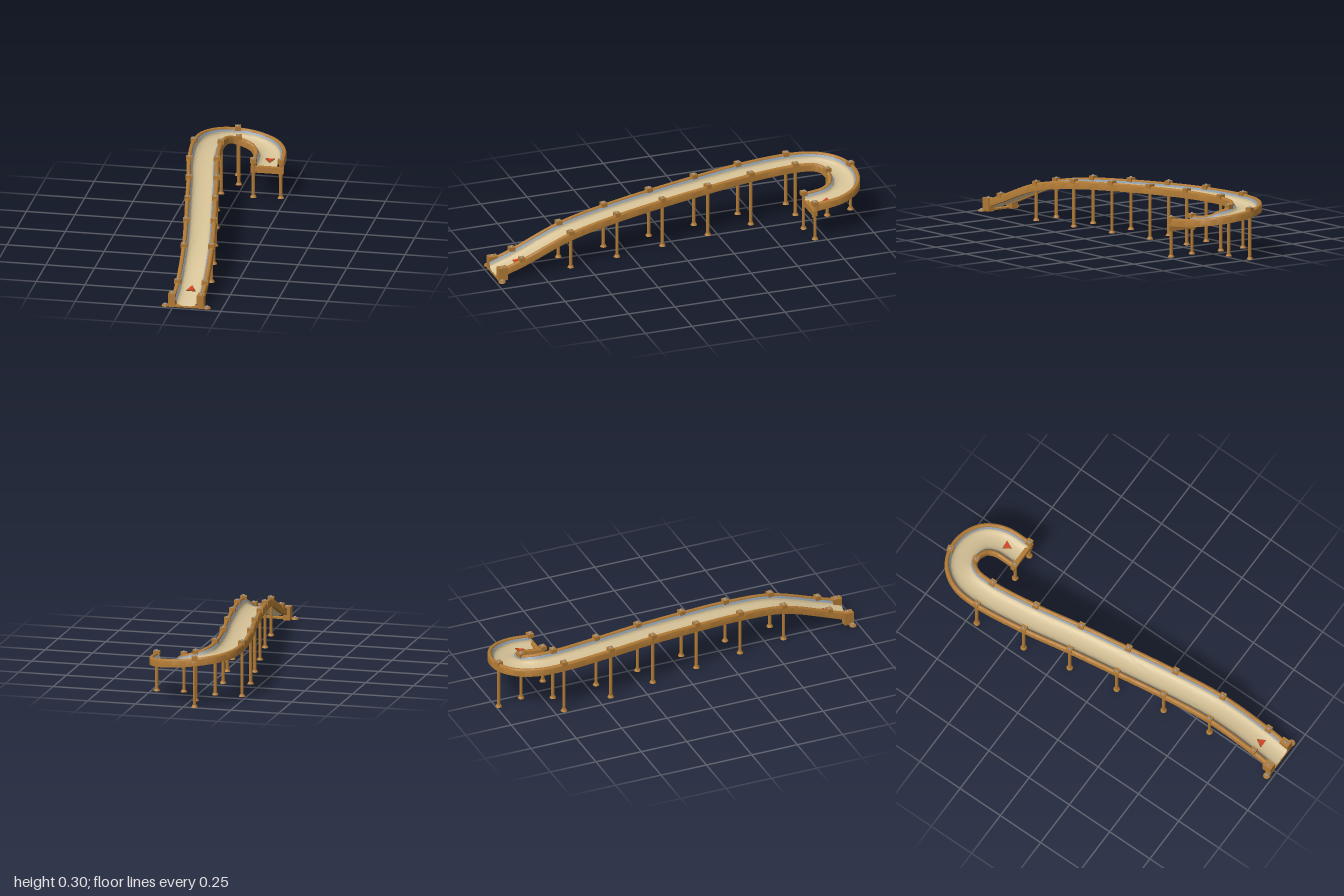
import * as THREE from 'three';
import { toCreasedNormals } from 'three/addons/utils/BufferGeometryUtils.js';

const mat = (name, color, side = THREE.FrontSide) => {
  const m = new THREE.MeshStandardMaterial({ color, side });
  m.name = name;
  return m;
};

export function createModel() {
  const model = new THREE.Group();
  model.name = 'curvedSlide';
  const wood = mat('wood', 0xb17a35);
  const cream = mat('cream', 0xd6c297, THREE.DoubleSide);
  const blue = mat('blueGrey', 0x8c9bab, THREE.DoubleSide);
  const steel = mat('steel', 0x8d9294);
  const red = mat('red', 0xdc3c22);
  const rust = mat('rust', 0xa8602c);

  const add = (name, geometry, material, x = 0, y = 0, z = 0, parent = model) => {
    const mesh = new THREE.Mesh(geometry, material);
    mesh.name = name;
    mesh.position.set(x, y, z);
    parent.add(mesh);
    return mesh;
  };

  // Path along the rail tops: a long climb, then a half turn at the back
  const stations = [
    [0.07, 0.052, 0.98], [0.07, 0.096, 0.855], [0.05, 0.193, 0.59], [0.01, 0.235, 0.33],
    [-0.035, 0.257, 0.07], [-0.08, 0.272, -0.19], [-0.127, 0.28, -0.44], [-0.156, 0.28, -0.7],
    [-0.144, 0.275, -0.82], [-0.1, 0.266, -0.888], [-0.04, 0.255, -0.917], [0.03, 0.243, -0.917],
    [0.1, 0.228, -0.885], [0.143, 0.213, -0.815], [0.153, 0.198, -0.688],
  ];
  const path = new THREE.CatmullRomCurve3(stations.map((p) => new THREE.Vector3(...p)));
  const last = stations.length - 1;
  const up = new THREE.Vector3(0, 1, 0);

  const frameAt = (t) => {
    const tangent = path.getTangent(t);
    const side = new THREE.Vector3().crossVectors(tangent, up).normalize();
    return { point: path.getPoint(t), tangent, side };
  };

  // Sweep a (sideways, height) profile along the path
  const sweep = (profile, closed) => {
    const rings = 168;
    const n = profile.length;
    const pos = [];
    const index = [];
    for (let j = 0; j <= rings; j++) {
      const { point, side } = frameAt(j / rings);
      for (const [s, y] of profile) pos.push(point.x + side.x * s, point.y + y, point.z + side.z * s);
    }
    for (let j = 0; j < rings; j++) {
      for (let i = 0; i < (closed ? n : n - 1); i++) {
        const a = j * n + i, b = j * n + ((i + 1) % n);
        index.push(a, a + n, b + n, a, b + n, b);
      }
    }
    if (closed) {
      const e = rings * n;
      for (let i = 1; i < n - 1; i++) index.push(0, i, i + 1, e, e + i + 1, e + i);
    }
    const g = new THREE.BufferGeometry();
    g.setAttribute('position', new THREE.Float32BufferAttribute(pos, 3));
    g.setIndex(index);
    return toCreasedNormals(g, 0.7);
  };

  // Sliding surface
  const trough = [];
  for (let i = 0; i <= 16; i++) {
    const a = (i / 16) * Math.PI;
    trough.push([-0.053 * Math.cos(a), -0.019 - 0.026 * Math.pow(Math.max(0, Math.sin(a)), 0.8)]);
  }
  add('trough', sweep(trough, false), cream);

  // Side boards with rounded tops, and the lining strips inside them
  for (const k of [-1, 1]) {
    const name = k > 0 ? 'left' : 'right';
    const board = [[k * 0.071 - 0.011, -0.041], [k * 0.071 + 0.011, -0.041]];
    for (let i = 0; i <= 8; i++) {
      const a = (i / 8) * Math.PI;
      board.push([k * 0.071 + 0.011 * Math.cos(a), -0.011 + 0.011 * Math.sin(a)]);
    }
    add(name + 'Rail', sweep(board, true), wood);
    add(name + 'Lining', sweep([[k * 0.063, -0.006], [k * 0.053, -0.019]], false), blue);
  }

  const domeGeo = new THREE.SphereGeometry(0.008, 12, 6, 0, Math.PI * 2, 0, Math.PI / 2);
  const bracketGeo = new THREE.BoxGeometry(0.032, 0.022, 0.03);
  const footGeo = new THREE.CylinderGeometry(0.011, 0.017, 0.011, 16);

  // Brackets, bolts and posts on both rails
  for (const i of [1, 2, 3, 4, 5, 6, 7, 10, last]) {
    const { point, side } = frameAt(i / last);
    for (const k of [-1, 1]) {
      const support = new THREE.Group();
      support.name = 'support';
      support.position.set(point.x + side.x * 0.07 * k, 0, point.z + side.z * 0.07 * k);
      support.rotation.y = Math.atan2(-side.z, side.x);
      model.add(support);
      add('bracket', bracketGeo, wood, 0, point.y - 0.001, 0, support);
      add('bolt', domeGeo, steel, 0, point.y + 0.009, 0, support);
      if (i === 1) continue;
      const h = point.y - 0.012;
      add('post', new THREE.CylinderGeometry(0.0085, 0.0085, h, 14), wood, 0, h / 2, 0, support);
      add('foot', footGeo, wood, 0, 0.0055, 0, support);
    }
  }

  // Cross beam and collars at the upper end
  add('endBeam', new THREE.BoxGeometry(0.17, 0.032, 0.022), wood, 0.153, 0.149, -0.69);
  for (const x of [0.083, 0.223]) {
    add('collar', new THREE.CylinderGeometry(0.011, 0.011, 0.008, 14), wood, x, 0.128, -0.688);
  }

  // Lower end: blocks, sill and anchor feet
  add('sill', new THREE.BoxGeometry(0.19, 0.008, 0.03), wood, 0.066, 0.004, 0.968);
  for (const k of [-1, 1]) {
    const x = 0.066 + k * 0.074;
    add('endBlock', new THREE.BoxGeometry(0.036, 0.068, 0.05), wood, x, 0.034, 0.957);
    add('blockBolt', domeGeo, steel, x, 0.067, 0.957);
    const ax = 0.066 + k * 0.108;
    add('anchorFoot', new THREE.CylinderGeometry(0.015, 0.019, 0.009, 16), wood, ax, 0.0045, 0.97);
    add('anchorBolt', domeGeo, steel, ax, 0.009, 0.97);
  }

  // Triangular direction markers lying on the trough
  for (const t of [1 / last, (last - 0.7) / last]) {
    const { point, tangent, side } = frameAt(t);
    const normal = new THREE.Vector3().crossVectors(side, tangent).normalize();
    const marker = new THREE.Group();
    marker.name = 'marker';
    marker.setRotationFromMatrix(new THREE.Matrix4().makeBasis(side.clone().negate(), normal, tangent));
    marker.position.copy(point).addScaledVector(up, -0.04);
    model.add(marker);
    add('markerBorder', new THREE.CylinderGeometry(0.028, 0.028, 0.006, 3), rust, 0, 0, 0, marker);
    add('markerFace', new THREE.CylinderGeometry(0.02, 0.02, 0.004, 3), red, 0, 0.003, 0, marker);
  }
  return model;
}
